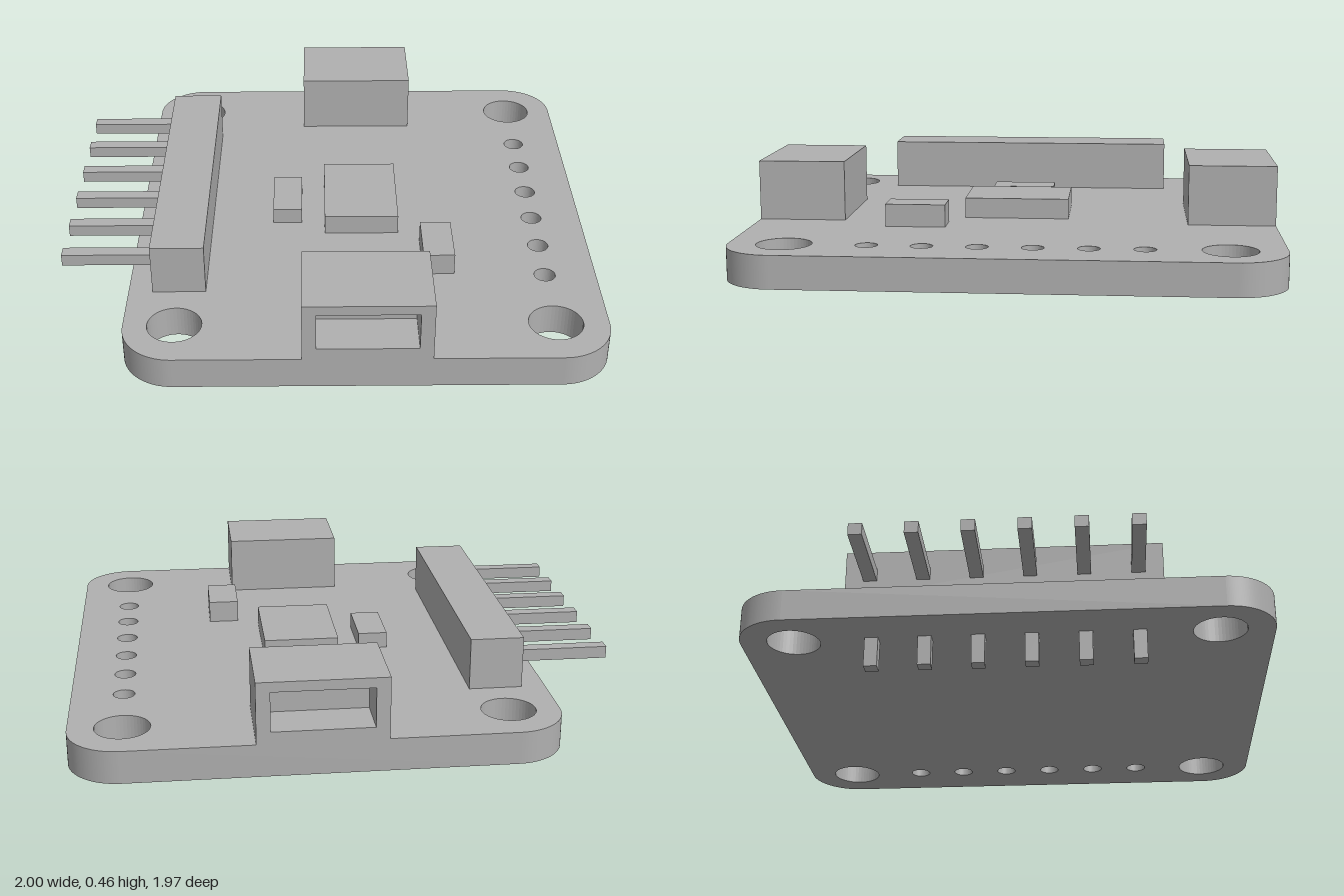
import * as THREE from 'three';

const grey = new THREE.MeshStandardMaterial({ color: 0xb0b0b0 });
grey.name = 'plain grey';

const BOTTOM = 0.115, TOP = 0.235, HALF_Z = 0.986;

// Box given by its limits on each axis
function block(name, [x0, x1], [y0, y1], [z0, z1]) {
  const mesh = new THREE.Mesh(new THREE.BoxGeometry(x1 - x0, y1 - y0, z1 - z0), grey);
  mesh.position.set((x0 + x1) / 2, (y0 + y1) / 2, (z0 + z1) / 2);
  mesh.name = name;
  return mesh;
}

function addHole(shape, x, y, r) {
  shape.holes.push(new THREE.Path().absarc(x, y, r, 0, Math.PI * 2, true));
}

// Rounded circuit board with mounting holes and a row of small holes
function makeBoard() {
  const r = 0.19, x0 = -0.752, x1 = 1;
  const s = new THREE.Shape();
  s.absarc(x1 - r, HALF_Z - r, r, 0, Math.PI / 2);
  s.absarc(x0 + r, HALF_Z - r, r, Math.PI / 2, Math.PI);
  s.absarc(x0 + r, -HALF_Z + r, r, Math.PI, Math.PI * 1.5);
  s.absarc(x1 - r, -HALF_Z + r, r, Math.PI * 1.5, Math.PI * 2);
  s.closePath();
  for (const x of [-0.566, 0.807]) for (const z of [-0.785, 0.785]) addHole(s, x, z, 0.099);
  for (let i = 0; i < 6; i++) addHole(s, 0.807, (i - 2.5) * 0.196, 0.04);
  const geo = new THREE.ExtrudeGeometry(s, { depth: TOP - BOTTOM, bevelEnabled: false, curveSegments: 24 });
  geo.rotateX(-Math.PI / 2);
  const board = new THREE.Mesh(geo, grey);
  board.position.y = BOTTOM;
  board.name = 'board';
  return board;
}

// Socket opening towards +z: hollow frame in front of a solid back
function makeSocket() {
  const w = 0.23, h = 0.227, depth = 0.33, cavity = 0.17;
  const s = new THREE.Shape([[-w, 0], [w, 0], [w, h], [-w, h]].map(p => new THREE.Vector2(...p)));
  s.holes.push(new THREE.Path([[-0.18, 0.045], [-0.18, 0.19], [0.18, 0.19], [0.18, 0.045]].map(p => new THREE.Vector2(...p))));
  const frame = new THREE.Mesh(new THREE.ExtrudeGeometry(s, { depth: cavity, bevelEnabled: false }), grey);
  frame.name = 'socketFrame';
  frame.position.z = -cavity;
  const socket = new THREE.Group();
  socket.add(frame, block('socketBack', [-w, w], [0, h], [-depth, -cavity]));
  return socket;
}

export function createModel() {
  const model = new THREE.Group();
  model.name = 'circuitBoard';
  model.add(makeBoard());

  // Sockets at the front and back edges
  for (const side of [1, -1]) {
    const socket = makeSocket();
    socket.name = side > 0 ? 'frontSocket' : 'backSocket';
    socket.position.set(0.123, TOP, side * HALF_Z);
    if (side < 0) socket.rotation.y = Math.PI;
    model.add(socket);
  }

  // Pin header with horizontal pins and solder tails
  model.add(block('pinHeader', [-0.663, -0.465], [TOP, 0.43], [-0.585, 0.585]));
  for (let i = 0; i < 6; i++) {
    const z = (i - 2.5) * 0.197, span = [z - 0.025, z + 0.025];
    model.add(block('headerPin', [-1, -0.66], [0.31, 0.355], span));
    model.add(block('solderTail', [-0.59, -0.54], [0, BOTTOM], span));
  }

  // Chips
  model.add(block('mainChip', [-0.021, 0.267], [TOP, 0.312], [-0.2, 0.2]));
  model.add(block('rightComponent', [-0.225, -0.112], [TOP, 0.297], [-0.123, 0.123]));
  model.add(block('leftComponent', [0.348, 0.466], [TOP, 0.32], [0.254, 0.48]));
  return model;
}
